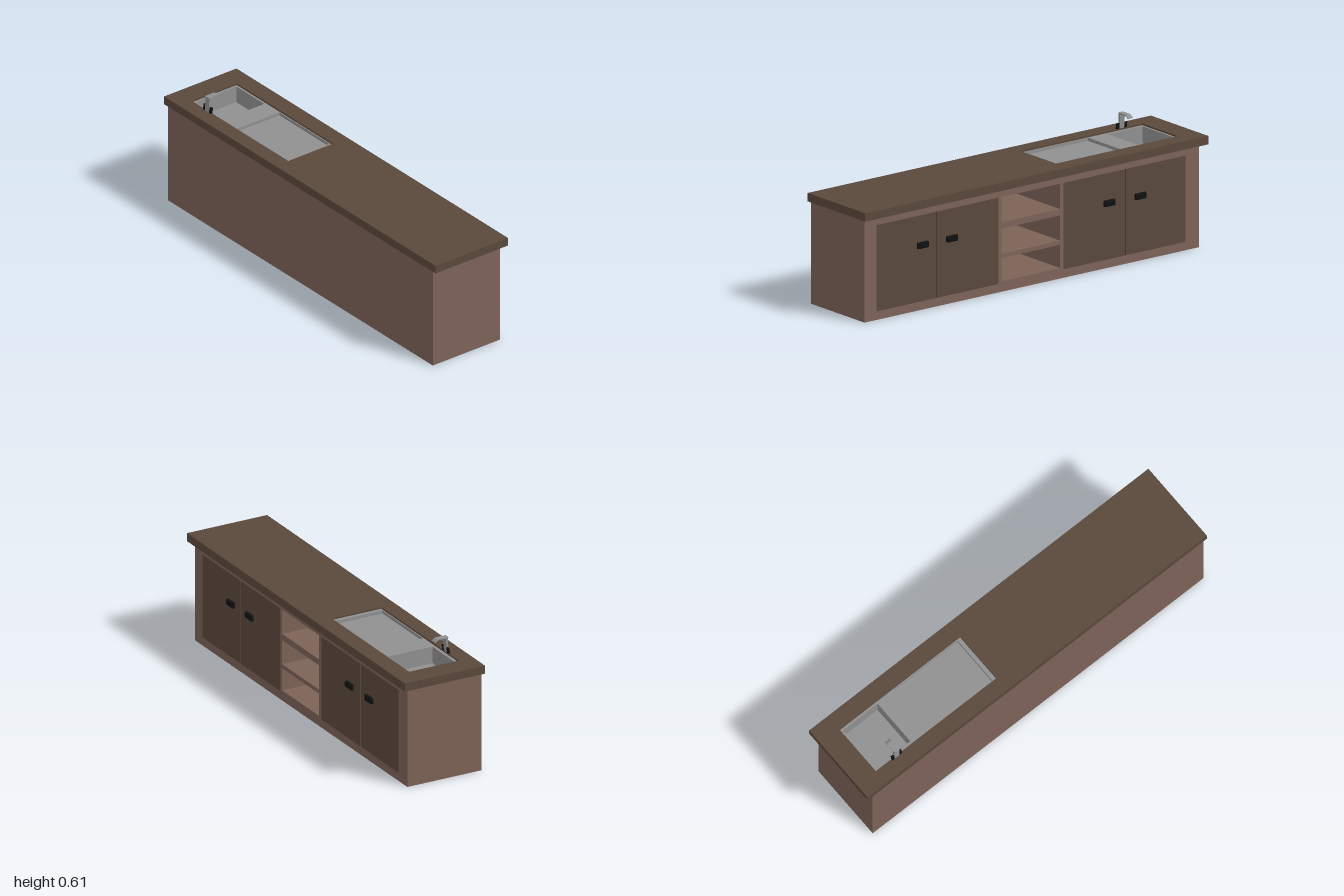
import * as THREE from 'three';
import { RoundedBoxGeometry } from 'three/addons/geometries/RoundedBoxGeometry.js';

const mat = (color) => new THREE.MeshStandardMaterial({ color, flatShading: true });
const wood = mat(0x7d6257), darkWood = mat(0x5a483b), steel = mat(0x909090), black = mat(0x111111);

export function createModel() {
  const group = new THREE.Group();

  const add = (name, geometry, material) => {
    const mesh = new THREE.Mesh(geometry, material);
    mesh.name = name;
    group.add(mesh);
    return mesh;
  };
  // Box given by its limits on each axis
  const box = (name, material, x0, x1, y0, y1, z0, z1) => {
    const mesh = add(name, new THREE.BoxGeometry(x1 - x0, y1 - y0, z1 - z0), material);
    mesh.position.set((x0 + x1) / 2, (y0 + y1) / 2, (z0 + z1) / 2);
    return mesh;
  };
  const rect = (Type, a0, a1, b0, b1) => new Type([
    [a0, b0], [a1, b0], [a1, b1], [a0, b1],
  ].map(([a, b]) => new THREE.Vector2(a, b)));
  // Plate with rectangular holes, each rectangle being [a0, a1, b0, b1]
  const plate = (outer, holes, depth) => {
    const shape = rect(THREE.Shape, ...outer);
    shape.holes = holes.map((h) => rect(THREE.Path, ...h));
    return new THREE.ExtrudeGeometry(shape, { depth, bevelEnabled: false });
  };
  // Upright plate facing +x, drawn in (-z, y)
  const frontPlate = (name, outer, holes, x0, x1) => {
    const flip = ([z0, z1, y0, y1]) => [-z1, -z0, y0, y1];
    const g = plate(flip(outer), holes.map(flip), x1 - x0);
    add(name, g.rotateY(Math.PI / 2).translate(x0, 0, 0), wood);
  };
  // Level plate, drawn in (x, -z)
  const levelPlate = (name, material, outer, holes, y0, y1) => {
    const flip = ([x0, x1, z0, z1]) => [x0, x1, -z1, -z0];
    const g = plate(flip(outer), holes.map(flip), y1 - y0);
    add(name, g.rotateX(-Math.PI / 2).translate(0, y0, 0), material);
  };

  // Cabinet carcass
  box('backPanel', wood, -0.21, -0.19, 0, 0.49, -0.97, 0.98);
  box('bottomPanel', wood, -0.19, 0.15, 0, 0.02, -0.97, 0.98);
  box('leftSidePanel', wood, -0.19, 0.15, 0.02, 0.49, 0.96, 0.98);
  box('rightSidePanel', wood, -0.19, 0.15, 0.02, 0.49, -0.97, -0.95);

  // Front frame, with open shelves running to the back panel
  const shelves = [[0.05, 0.16], [0.18, 0.3], [0.33, 0.45]].map(([y0, y1]) => [-0.16, 0.18, y0, y1]);
  const doorways = [[0.2, 0.91], [-0.89, -0.18]].map(([z0, z1]) => [z0, z1, 0.04, 0.45]);
  frontPlate('frontFrame', [-0.97, 0.98, 0, 0.49], [...shelves, ...doorways], 0.15, 0.18);
  frontPlate('shelfUnit', [-0.175, 0.195, 0.02, 0.48], shelves, -0.19, 0.15);

  // Doors and pulls
  for (const [z0, z1, pull] of [
    [0.562, 0.91, 0.643], [0.2, 0.558, 0.473], [-0.537, -0.18, -0.445], [-0.89, -0.543, -0.625],
  ]) {
    box('door', darkWood, 0.155, 0.18, 0.04, 0.45, z0, z1);
    add('doorPull', new RoundedBoxGeometry(0.02, 0.03, 0.064, 2, 0.006), black)
      .position.set(0.183, 0.308, pull);
  }
  for (const [z0, z1] of [[0.555, 0.565], [-0.545, -0.535]]) {
    box('doorGapBacking', black, 0.15, 0.156, 0.04, 0.45, z0, z1);
  }

  // Worktop with the sink cut-out
  const sink = [-0.135, 0.125, -0.89, -0.18];
  levelPlate('worktop', darkWood, [-0.21, 0.21, -1, 1], [sink], 0.49, 0.53);

  // Steel sink: rim, deep basin and shallow drainer
  const basin = [-0.12, 0.115, -0.88, -0.675], drainer = [-0.13, 0.12, -0.57, -0.2];
  levelPlate('sinkRim', steel, sink, [basin, drainer], 0.505, 0.522);
  box('drainerFloor', steel, -0.134, 0.124, 0.5, 0.507, -0.58, -0.19);
  const [x0, x1, z0, z1] = basin, t = 0.004;
  levelPlate('basinWalls', steel, [x0 - t, x1 + t, z0 - t, z1 + t], [basin], 0.435, 0.51);
  box('basinFloor', steel, x0 - t, x1 + t, 0.431, 0.44, z0 - t, z1 + t);
  add('drain', new THREE.CylinderGeometry(0.008, 0.008, 0.003, 12), black).position.set(-0.07, 0.441, -0.735);

  // Tap: a bent flat profile with a lever on each side
  const tapZ = -0.77;
  const profile = (name, points, width, z, material) => {
    const shape = new THREE.Shape(points.map(([x, y]) => new THREE.Vector2(x, y)));
    const g = new THREE.ExtrudeGeometry(shape, { depth: width, bevelEnabled: false });
    add(name, g.translate(0, 0, z - width / 2), material);
  };
  profile('tapSpout', [
    [-0.143, 0.53], [-0.134, 0.53], [-0.128, 0.6], [-0.088, 0.6], [-0.073, 0.59],
    [-0.071, 0.593], [-0.087, 0.605], [-0.143, 0.605], [-0.139, 0.6],
  ], 0.028, tapZ, steel);
  for (const side of [-1, 1]) {
    profile('tapLever', [
      [-0.143, 0.53], [-0.134, 0.53], [-0.13, 0.557], [-0.138, 0.557],
    ], 0.014, tapZ + side * 0.022, black);
  }
  return group;
}
